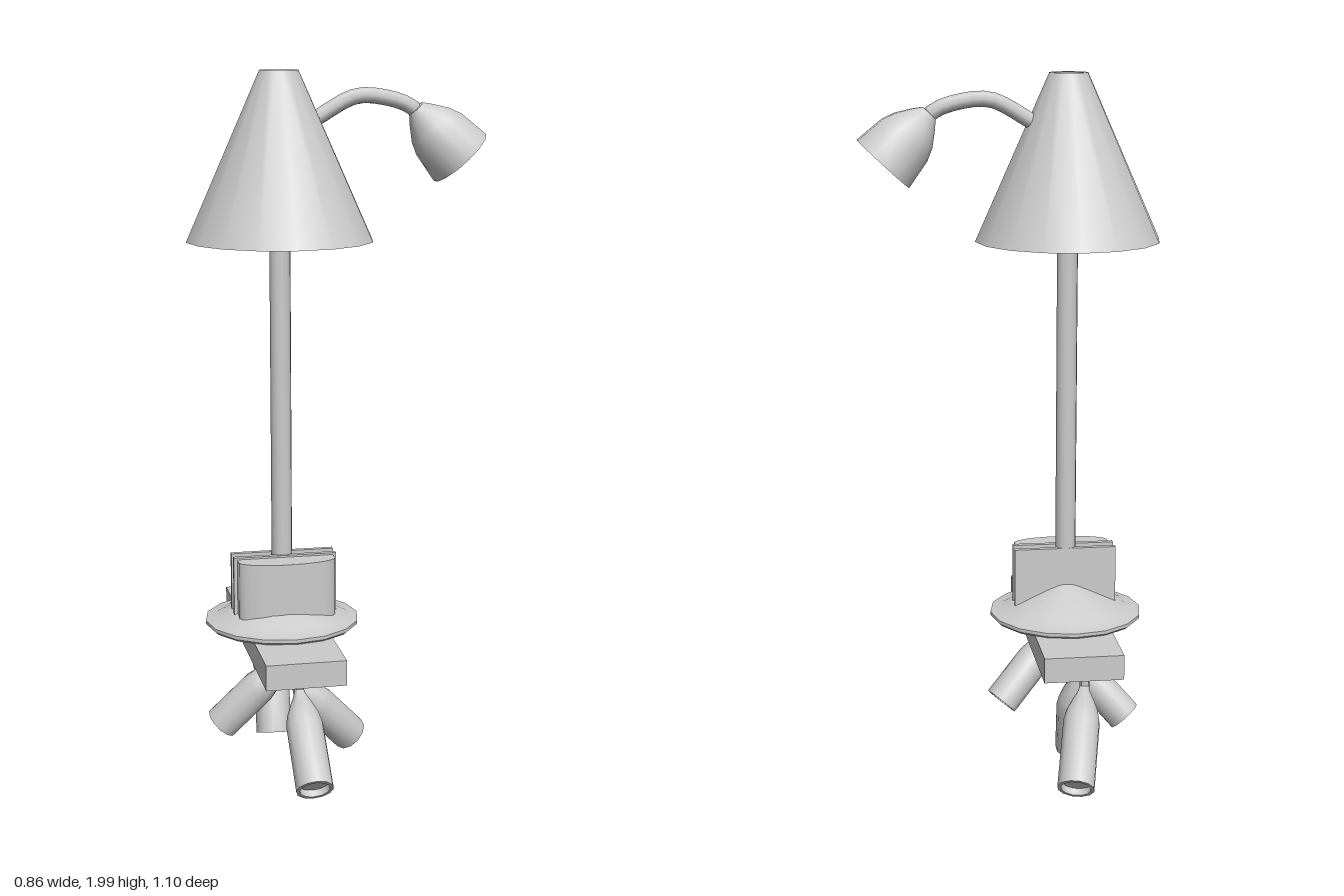
import * as THREE from 'three';
import { toCreasedNormals } from 'three/addons/utils/BufferGeometryUtils.js';

const AX = -0.17, AZ = 0.013; // axis of the pole
const grey = new THREE.MeshStandardMaterial({ color: 0xcccccc, side: THREE.DoubleSide });
const UP = new THREE.Vector3(0, 1, 0);

export function createModel() {
  const root = new THREE.Group();

  const add = (name, geometry, x = 0, y = 0, z = 0, parent = root) => {
    const mesh = new THREE.Mesh(geometry, grey);
    mesh.name = name;
    mesh.position.set(x, y, z);
    parent.add(mesh);
    return mesh;
  };
  const lathe = (points, sides) => toCreasedNormals(
    new THREE.LatheGeometry(points.map(([r, y]) => new THREE.Vector2(r, y)), sides), 0.62);
  // turn a part modelled along +y so that it points from a to b
  const aim = (mesh, a, b) => {
    mesh.position.copy(a);
    mesh.quaternion.setFromUnitVectors(UP, b.clone().sub(a).normalize());
  };
  const rod = (name, a, b, r) => {
    const len = a.distanceTo(b);
    const g = new THREE.CylinderGeometry(r, r, len, 8).translate(0, len / 2, 0);
    aim(add(name, toCreasedNormals(g, 0.9)), a, b);
  };
  const V = (x, y, z) => new THREE.Vector3(x, y, z);

  // hollow conical shade, open at the top
  add('shade', lathe([[0.265, 1.53], [0.055, 2], [0.042, 2], [0.24, 1.53], [0.265, 1.53]], 16), AX, 0, AZ);

  // pole and the spokes that carry the shade
  add('pole', lathe([[0, 0.42], [0.03, 0.42], [0.03, 1.58], [0, 1.58]], 12), AX, 0, AZ);
  add('hub', lathe([[0, 1.57], [0.035, 1.57], [0.035, 1.62], [0, 1.62]], 12), AX, 0, AZ);
  for (let i = 0; i < 5; i++) {
    const a = (i / 5) * Math.PI * 2 + 0.3;
    const dx = Math.sin(a), dz = Math.cos(a);
    rod('spoke', V(AX, 1.595, AZ), V(AX + dx * 0.2, 1.61, AZ + dz * 0.2), 0.01);
    const block = add('bulbBlock', new THREE.BoxGeometry(0.05, 0.07, 0.02), AX + dx * 0.07, 1.63, AZ + dz * 0.07);
    block.rotation.y = a;
  }

  // mounting bar and the shallow conical base on it
  add('bar', new THREE.BoxGeometry(0.226, 0.072, 0.745), AX + 0.002, 0.376, 0.013);
  add('base', lathe([[0, 0.41], [0.215, 0.41], [0.224, 0.418], [0.224, 0.428], [0.195, 0.432],
    [0.17, 0.445], [0.03, 0.51], [0, 0.515]], 16), AX, 0, 0.008);

  // holder: two upright plates with a slot between, and a rounded front
  for (const z of [-0.008, 0.039]) {
    add('holderPlate', new THREE.BoxGeometry(0.3, 0.175, 0.016), AX + 0.004, 0.535, z);
  }
  const front = new THREE.Shape();
  front.moveTo(-0.14, 0);
  front.lineTo(-0.14, -0.035);
  front.bezierCurveTo(-0.13, -0.065, -0.06, -0.08, 0, -0.08);
  front.bezierCurveTo(0.06, -0.08, 0.13, -0.065, 0.14, -0.035);
  front.lineTo(0.14, 0);
  front.closePath();
  const frontGeo = new THREE.ExtrudeGeometry(front, { depth: 0.175, bevelEnabled: false, curveSegments: 8 });
  frontGeo.rotateX(-Math.PI / 2);
  add('holderFront', toCreasedNormals(frontGeo, 0.6), AX + 0.004, 0.442, 0.046);

  // five aimed spotlights under the bar: [pivot, end]
  const spots = [
    [V(AX, 0.295, 0.28), V(AX, 0.095, 0.51)],
    [V(AX, 0.29, 0.195), V(0.008, 0.095, 0.125)],
    [V(AX, 0.29, 0.03), V(-0.345, 0.095, -0.035)],
    [V(AX, 0.29, -0.19), V(-0.18, 0.029, -0.092)],
    [V(-0.18, 0.295, -0.29), V(-0.12, 0.092, -0.52)],
  ];
  for (const [pivot, end] of spots) {
    rod('spotStem', pivot, V(pivot.x, 0.35, pivot.z), 0.014);
    const len = pivot.distanceTo(end);
    aim(add('spotlight', lathe([[0, -0.015], [0.012, -0.01], [0.018, 0.015], [0.032, 0.045], [0.046, 0.08],
      [0.052, 0.11], [0.052, len], [0.042, len], [0.042, len - 0.02], [0, len - 0.02]], 12)), pivot, end);
  }

  // side reading lamp: bent arm and bell-shaped head
  const arm = new THREE.CatmullRomCurve3([V(-0.09, 1.85, 0.002), V(-0.05, 1.875, 0.002), V(0.05, 1.927, 0.002),
    V(0.14, 1.922, 0.002), V(0.21, 1.897, 0.002), V(0.235, 1.87, 0.002)]);
  add('readingArm', new THREE.TubeGeometry(arm, 12, 0.022, 8));
  const head = add('readingHead', lathe([[0, -0.005], [0.025, 0], [0.045, 0.025], [0.072, 0.065], [0.086, 0.1],
    [0.099, 0.19], [0.086, 0.19], [0.078, 0.14], [0, 0.14]], 14));
  aim(head, V(0.222, 1.892, 0.003), V(0.351, 1.754, 0.003));

  return root;
}
